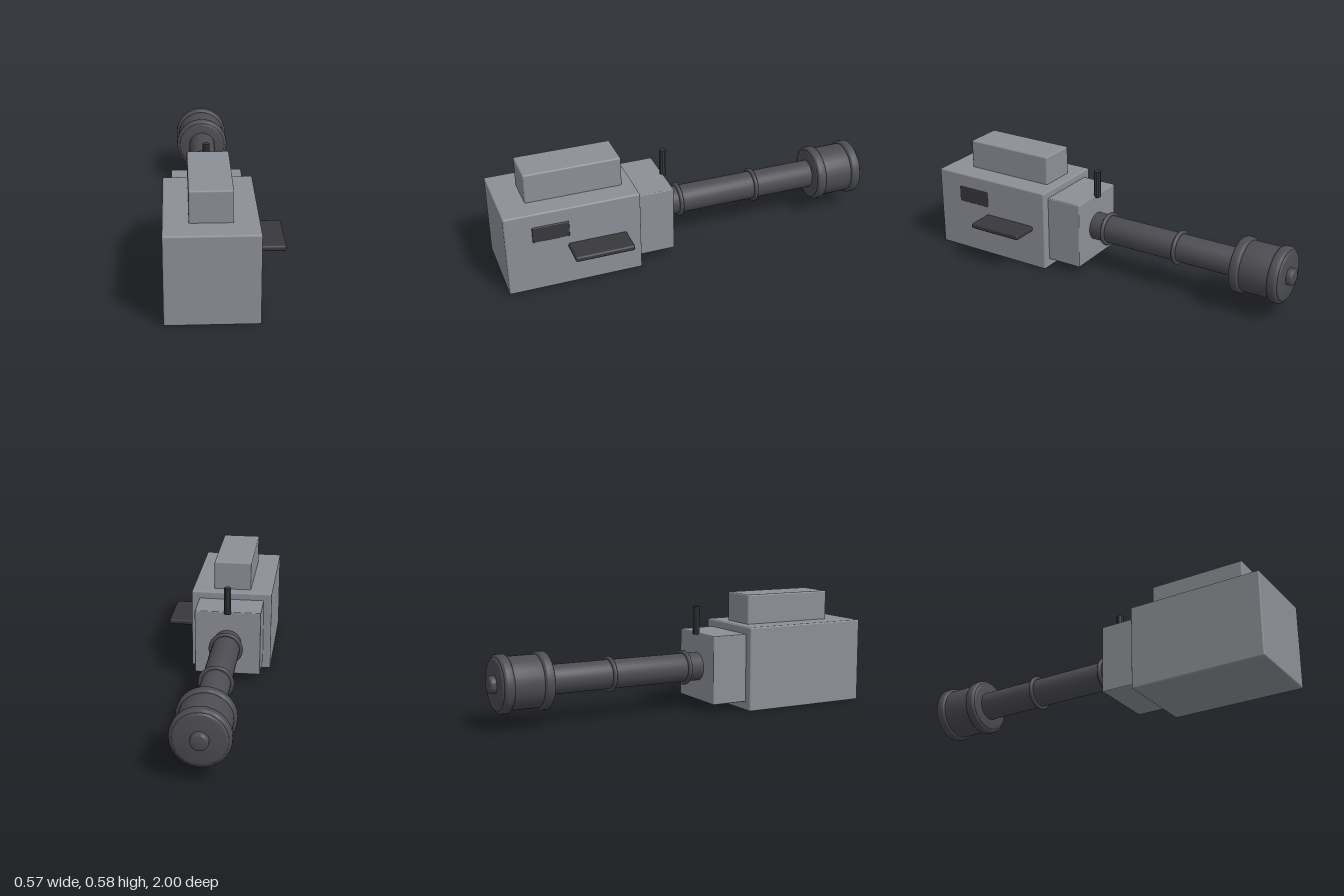
import * as THREE from 'three';
import { RoundedBoxGeometry } from 'three/addons/geometries/RoundedBoxGeometry.js';
import { toCreasedNormals } from 'three/addons/utils/BufferGeometryUtils.js';

const AXIS_X = -0.069, AXIS_Y = 0.22;
const casing = new THREE.MeshStandardMaterial({ color: 0x8c8f96 });
const metal = new THREE.MeshStandardMaterial({ color: 0x4c4c52 });
const dark = new THREE.MeshStandardMaterial({ color: 0x38373c });

export function createModel() {
  const model = new THREE.Group();

  function add(name, geometry, material, x, y, z) {
    const mesh = new THREE.Mesh(geometry, material);
    mesh.name = name;
    mesh.position.set(x, y, z);
    model.add(mesh);
    return mesh;
  }

  // Rounded box given by its extents on each axis
  function block(name, material, [x0, x1], [y0, y1], [z0, z1], radius) {
    const g = new RoundedBoxGeometry(x1 - x0, y1 - y0, z1 - z0, 2, radius);
    return add(name, g, material, (x0 + x1) / 2, (y0 + y1) / 2, (z0 + z1) / 2);
  }

  // Round part along the barrel axis, with bevelled rims
  function drum(name, material, radius, zFront, zBack, bevel) {
    const h = zFront - zBack;
    const profile = [[0, 0], [radius - bevel, 0]];
    for (const a of [30, 60, 90].map(THREE.MathUtils.degToRad))
      profile.push([radius - bevel + bevel * Math.sin(a), bevel - bevel * Math.cos(a)]);
    for (const a of [0, 30, 60, 90].map(THREE.MathUtils.degToRad))
      profile.push([radius - bevel + bevel * Math.cos(a), h - bevel + bevel * Math.sin(a)]);
    profile.push([0, h]);
    const lathe = new THREE.LatheGeometry(profile.map(([r, y]) => new THREE.Vector2(r, y)), 32);
    const g = toCreasedNormals(lathe, 0.7).rotateX(Math.PI / 2);
    return add(name, g, material, AXIS_X, AXIS_Y, zBack);
  }

  // Housing
  block('body', casing, [-0.285, 0.147], [0, 0.433], [0.315, 1], 0.008);
  block('topCover', casing, [-0.168, 0.031], [0.42, 0.585], [0.372, 0.865], 0.008);
  block('barrelMount', casing, [-0.243, 0.105], [0.045, 0.395], [0.125, 0.33], 0.005);

  // Side fittings
  block('sidePanel', dark, [0.13, 0.152], [0.276, 0.36], [0.68, 0.865], 0.005);
  block('sidePlate', dark, [0.12, 0.284], [0.204, 0.232], [0.39, 0.69], 0.01);

  // Barrel with two thin bands
  drum('barrel', metal, 0.073, 0.16, -0.74, 0.004);
  for (const z of [0.045, -0.375])
    add('barrelBand', new THREE.TorusGeometry(0.079, 0.011, 10, 32), metal, AXIS_X, AXIS_Y, z);

  // Muzzle drum, its rims and the end cap
  drum('muzzle', metal, 0.13, -0.705, -0.97, 0.012);
  drum('muzzleRim', metal, 0.143, -0.71, -0.762, 0.014);
  drum('muzzleRim', metal, 0.143, -0.91, -0.962, 0.014);
  drum('muzzleCap', metal, 0.043, -0.95, -1, 0.012);

  // Sight post
  const post = toCreasedNormals(new THREE.CylinderGeometry(0.018, 0.018, 0.145, 10), 0.5);
  add('sightPost', post, dark, AXIS_X, 0.459, 0.122);

  return model;
}
